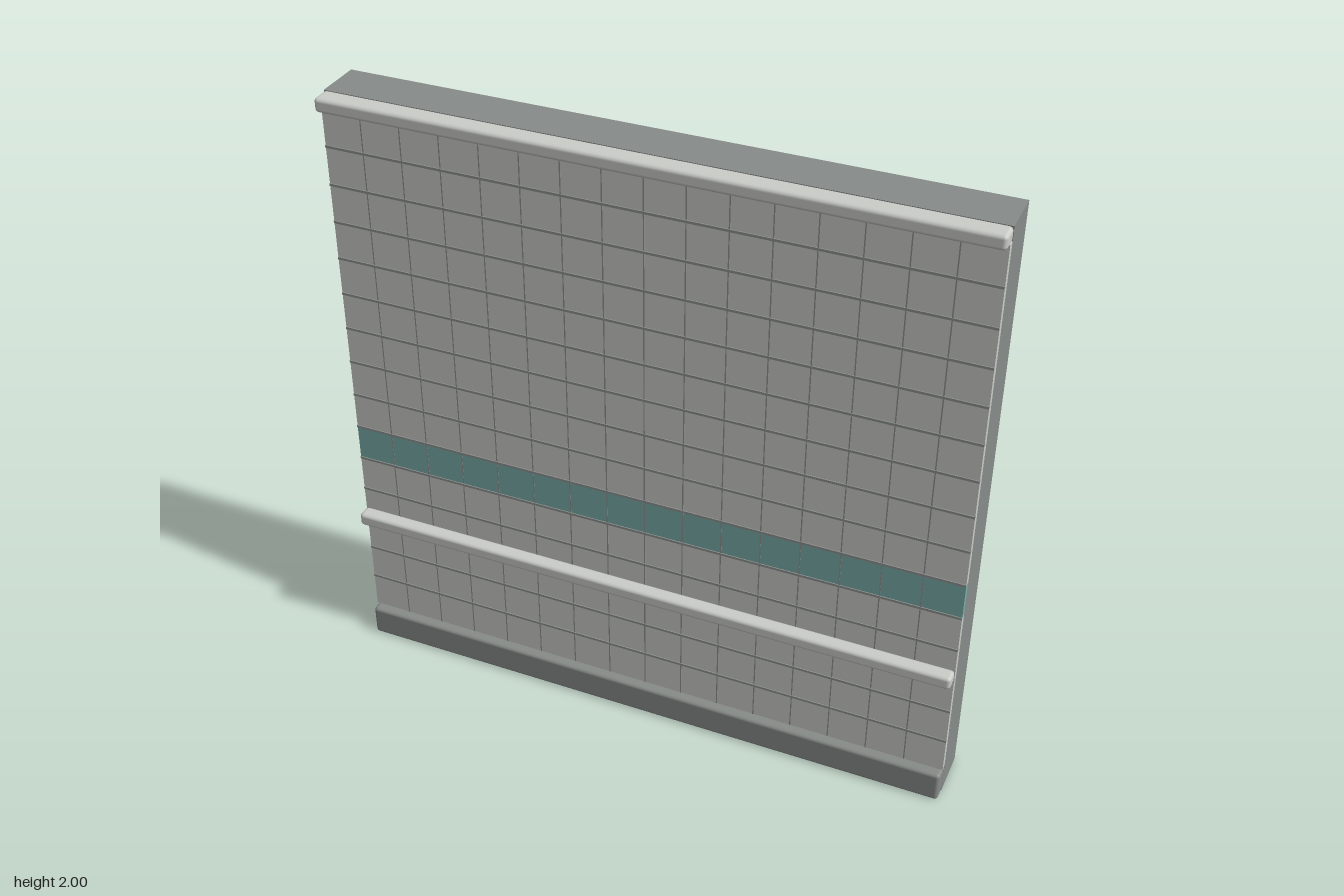
import * as THREE from 'three';
import { RoundedBoxGeometry } from 'three/addons/geometries/RoundedBoxGeometry.js';

const mat = (name, color) => new THREE.MeshStandardMaterial({ name, color });

export function createModel() {
  const wallGrey = mat('wallGrey', 0x878c89);
  const tileGrey = mat('tileGrey', 0xcbcdc9);
  const bandTeal = mat('bandTeal', 0x78aca8);
  const jointGrey = mat('jointGrey', 0x8f9491);
  const group = new THREE.Group();

  // Box from its y and z limits, centred on x
  function slab(name, material, width, y0, y1, z0, z1, radius = 0, x = 0) {
    const h = y1 - y0, d = z1 - z0;
    const geometry = radius
      ? new RoundedBoxGeometry(width, h, d, 2, radius)
      : new THREE.BoxGeometry(width, h, d);
    const mesh = new THREE.Mesh(geometry, material);
    mesh.name = name;
    mesh.position.set(x, (y0 + y1) / 2, (z0 + z1) / 2);
    group.add(mesh);
    return mesh;
  }

  // Solid wall
  slab('wall', wallGrey, 2, 0, 2, -0.11, 0.04);

  // Tile rows, one of them coloured
  const rows = 15, columns = 16, start = 0.109, pitch = 0.1232, bandRow = 5;
  for (let r = 0; r < rows; r++) {
    const y = start + r * pitch;
    const band = r === bandRow;
    slab(band ? 'bandRow' : 'tileRow', band ? bandTeal : tileGrey, 2, y, y + pitch, 0.04, 0.062);
    // Joint above the row
    if (r < rows - 1) {
      slab('rowJoint', jointGrey, 2, y + pitch - 0.004, y + pitch + 0.004, 0.052, 0.065);
    }
  }

  // Upright joints between the tile columns
  for (let c = 1; c < columns; c++) {
    slab('columnJoint', jointGrey, 0.004, start, start + rows * pitch, 0.052, 0.063, 0, -1 + c * 2 / columns);
  }

  // Skirting, rail and top trim with softened edges
  slab('skirting', wallGrey, 2, 0, 0.105, 0.03, 0.09, 0.012);
  slab('rail', tileGrey, 2, 0.48, 0.525, 0.06, 0.11, 0.012);
  slab('topTrim', tileGrey, 2, 1.955, 2, 0.035, 0.1, 0.012);

  return group;
}
